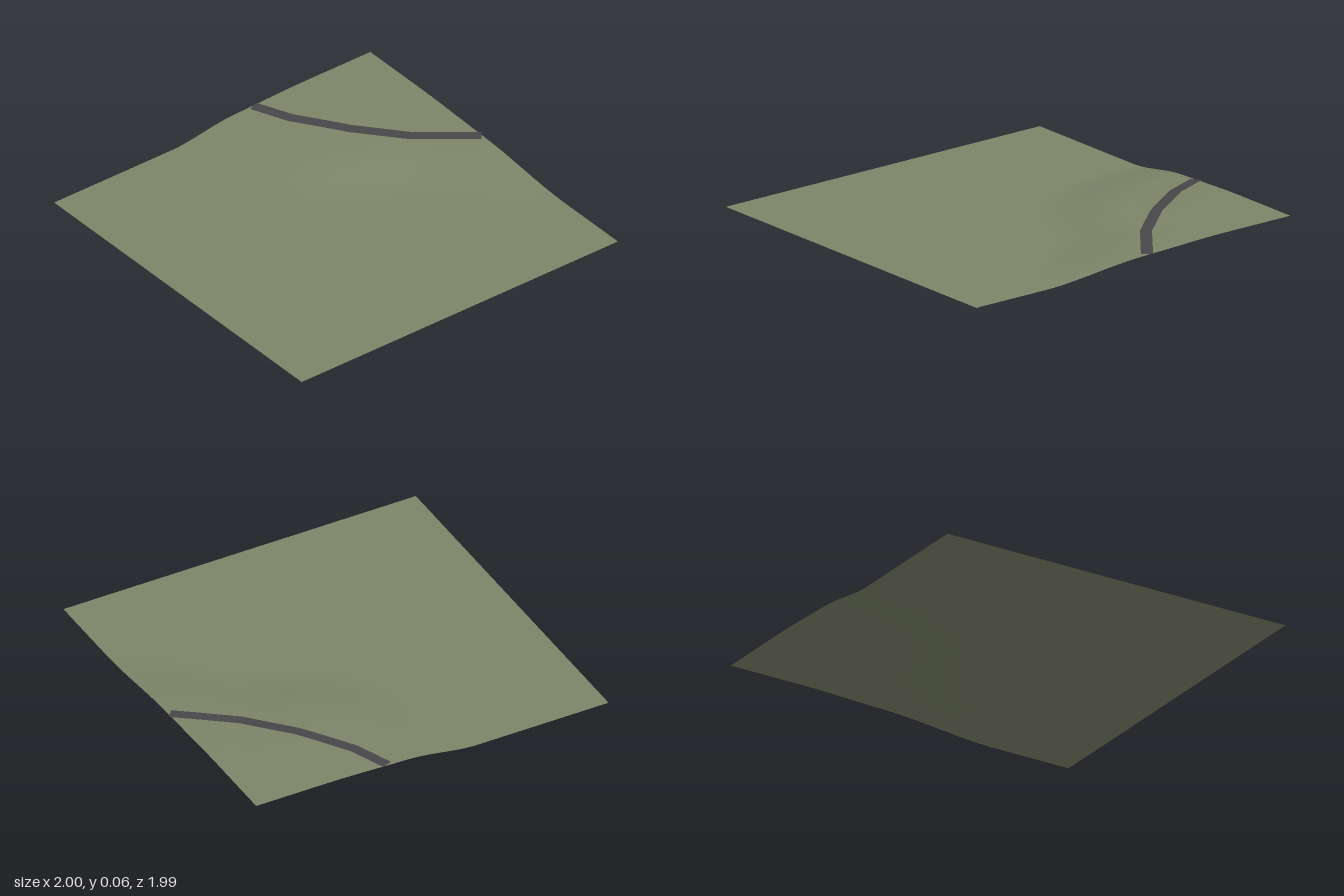
import * as THREE from 'three';

const CORNER = [0.985, -0.985];

// Hill edge radii around the back corner: [angle in degrees, foot, shoulder]
const RIM = [[0, 1.25, 0.85], [34, 1.3, 0.85], [63, 1.2, 0.75], [90, 1.55, 0.88]];

function rimAt(angle) {
  let i = 0;
  while (i < RIM.length - 2 && angle > RIM[i + 1][0]) i++;
  const [a, b] = [RIM[i], RIM[i + 1]];
  const t = THREE.MathUtils.smoothstep(angle, a[0], b[0]);
  return [THREE.MathUtils.lerp(a[1], b[1], t), THREE.MathUtils.lerp(a[2], b[2], t)];
}

// Flat plain rising over a smooth bank to a gently sloping plateau
function heightAt(x, z) {
  const dx = Math.max(0, CORNER[0] - x), dz = Math.max(0, z - CORNER[1]);
  const r = Math.hypot(dx, dz);
  const [foot, shoulder] = rimAt(THREE.MathUtils.radToDeg(Math.atan2(dz, dx)));
  const bank = 1 - THREE.MathUtils.smoothstep(r, shoulder, foot);
  const plateau = 1 - THREE.MathUtils.smoothstep(r, 0.4, shoulder + 0.1);
  return 0.046 * bank + 0.014 * plateau;
}

function sheet(name, geometry, color) {
  geometry.computeVertexNormals();
  const material = new THREE.MeshStandardMaterial({ color, side: THREE.DoubleSide });
  const mesh = new THREE.Mesh(geometry, material);
  mesh.name = name;
  return mesh;
}

function makeTerrain() {
  const geo = new THREE.PlaneGeometry(1.985, 1.985, 80, 80);
  geo.rotateX(-Math.PI / 2);
  geo.translate(-0.0075, 0, 0.0025);
  const p = geo.attributes.position;
  for (let i = 0; i < p.count; i++) p.setY(i, heightAt(p.getX(i), p.getZ(i)));
  return sheet('terrain', geo, 0x7d8468);
}

// Ribbon of straight stretches with mitred bends, draped just above the ground
function makeRoad() {
  const pts = [[0.245, -0.985], [0.325, -0.79], [0.5, -0.53], [0.7, -0.305], [0.978, -0.09]]
    .map(([x, z]) => new THREE.Vector2(x, z));
  const half = 0.03, steps = 8, across = 4;
  const dirs = pts.slice(1).map((p, i) => p.clone().sub(pts[i]).normalize());
  const sides = pts.map((_, i) => {
    const a = dirs[Math.max(0, i - 1)], b = dirs[Math.min(i, dirs.length - 1)];
    const d = a.clone().add(b).normalize();
    return new THREE.Vector2(-d.y, d.x).multiplyScalar(half / d.dot(a));
  });
  const rows = (pts.length - 1) * steps;
  const geo = new THREE.PlaneGeometry(1, 1, across, rows);
  const pos = geo.attributes.position;
  for (let r = 0; r <= rows; r++) {
    const s = Math.min(Math.floor(r / steps), pts.length - 2), t = r / steps - s;
    const centre = pts[s].clone().lerp(pts[s + 1], t);
    const side = sides[s].clone().lerp(sides[s + 1], t);
    for (let c = 0; c <= across; c++) {
      const k = 1 - 2 * c / across;
      const x = centre.x + side.x * k, z = centre.y + side.y * k;
      pos.setXYZ(r * (across + 1) + c, x, heightAt(x, z) + 0.003, z);
    }
  }
  // Turn the faces upward if the row order left them facing down
  geo.computeVertexNormals();
  if (geo.attributes.normal.getY(0) < 0) {
    const idx = geo.index;
    for (let i = 0; i < idx.count; i += 3) {
      const a = idx.getX(i);
      idx.setX(i, idx.getX(i + 1));
      idx.setX(i + 1, a);
    }
  }
  return sheet('road', geo, 0x47474a);
}

export function createModel() {
  const model = new THREE.Group();
  model.name = 'hillsideWithRoad';
  model.add(makeTerrain(), makeRoad());
  return model;
}
